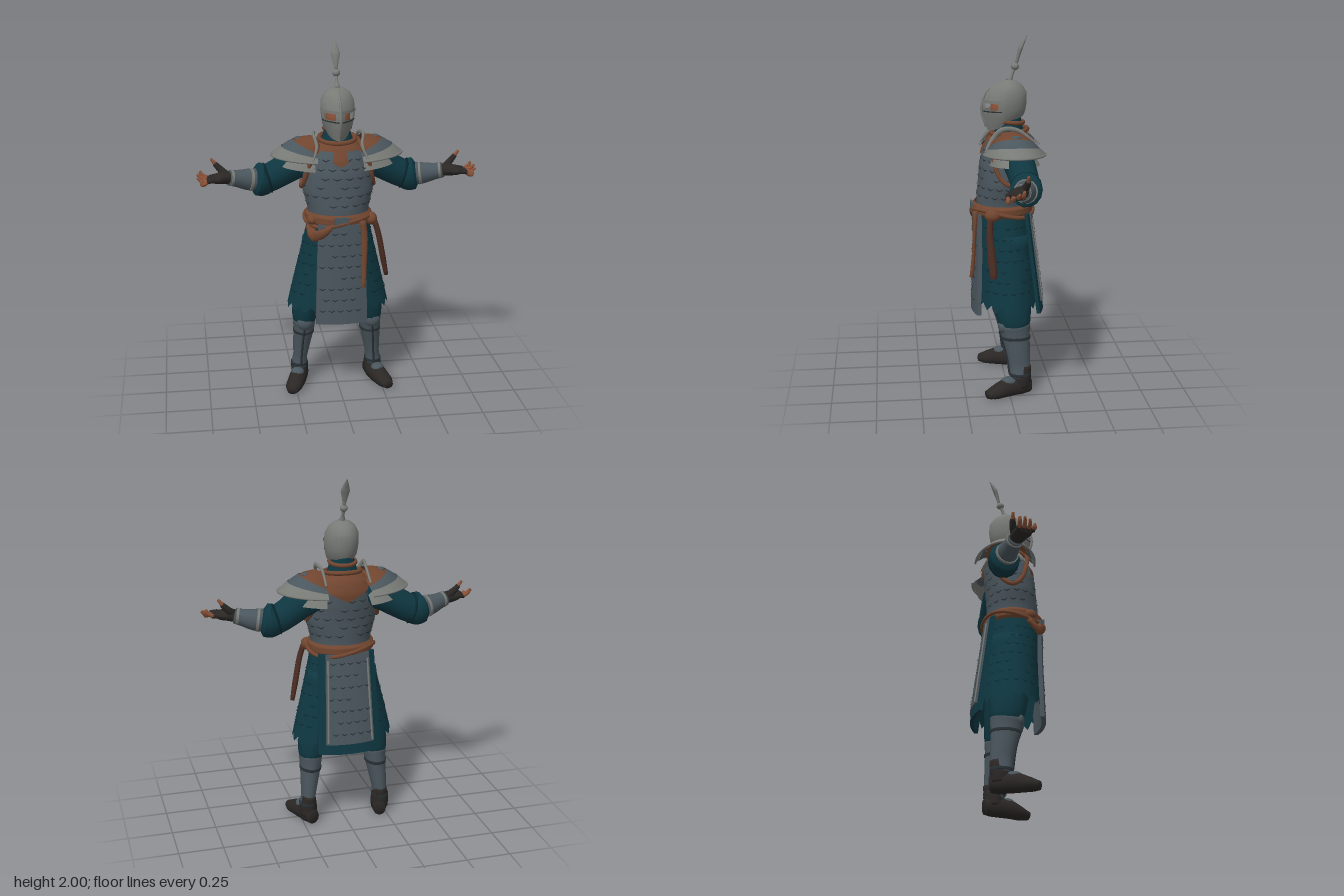
import * as THREE from 'three';
import { mergeVertices, mergeGeometries, toCreasedNormals } from 'three/addons/utils/BufferGeometryUtils.js';

const V = (x, y, z) => new THREE.Vector3(x, y, z);
const mat = (name, color) => {
  const m = new THREE.MeshStandardMaterial({ color, side: THREE.DoubleSide });
  m.name = name;
  return m;
};
const TAU = Math.PI * 2, { sin, cos, abs, max } = Math, lerp = THREE.MathUtils.lerp;

// Surface from a rule P(u, v); skip(i, j) leaves cells open
function grid(P, u0, u1, nu, v0, v1, nv, skip) {
  const pos = [], idx = [], w = nu + 1;
  for (let j = 0; j <= nv; j++) for (let i = 0; i <= nu; i++)
    pos.push(...P(lerp(u0, u1, i / nu), lerp(v0, v1, j / nv)).toArray());
  for (let j = 0; j < nv; j++) for (let i = 0; i < nu; i++) {
    if (skip && skip(i, j)) continue;
    const a = j * w + i;
    idx.push(a, a + 1, a + w + 1, a, a + w + 1, a + w);
  }
  let g = new THREE.BufferGeometry();
  g.setAttribute('position', new THREE.Float32BufferAttribute(pos, 3));
  g.setIndex(idx);
  g = mergeVertices(g, 1e-5);
  g.computeVertexNormals();
  return g;
}

// Upright body surface from rings [y, halfWidth, halfDepth, centreZ]
const body = (rings, off = 0) => (a, y) => {
  let k = 0;
  while (k < rings.length - 2 && y > rings[k + 1][0]) k++;
  const A = rings[k], B = rings[k + 1], t = (y - A[0]) / (B[0] - A[0]);
  return V(sin(a) * (lerp(A[1], B[1], t) + off), y, cos(a) * (lerp(A[2], B[2], t) + off) + lerp(A[3], B[3], t));
};

// Tapered limb through [x, y, z, radiusAcross, radiusForward], capped at both ends
function limb(pts, ref = V(0, 0, 1), sides = 14, steps = 4) {
  const curve = new THREE.CatmullRomCurve3(pts.map(p => V(p[0], p[1], p[2])));
  const n = pts.length - 1, N = n * steps;
  const P = (a, k) => {
    const j = Math.min(max(k - 1, 0), N), t = j / N, f = Math.min(Math.floor(t * n), n - 1), e = t * n - f;
    const r = q => (k < 0.5 || k > N + 1.5) ? 0 : lerp(pts[f][q], pts[f + 1][q], e);
    const T = curve.getTangent(t), A = ref.clone().addScaledVector(T, -ref.dot(T)).normalize(), B = T.clone().cross(A);
    return curve.getPoint(t).addScaledVector(A, cos(a) * r(4)).addScaledVector(B, sin(a) * r(3));
  };
  return grid(P, 0, TAU, sides, 0, N + 2, N + 2);
}
const tube = (pts, r, closed = false) =>
  new THREE.TubeGeometry(new THREE.CatmullRomCurve3(pts.map(p => V(...p)), closed), 32, r, 8, closed);
const ball = (x, y, z, a, b, c) => new THREE.SphereGeometry(1, 14, 10).scale(a, b, c).translate(x, y, z);
function mirrored(g) {
  const m = g.clone().scale(-1, 1, 1);
  if (!m.index) m.setIndex([...Array(m.attributes.position.count).keys()]);
  const ix = m.index.array;
  for (let i = 0; i < ix.length; i += 3) [ix[i], ix[i + 1]] = [ix[i + 1], ix[i]];
  return m;
}

// Rows of small V-shaped scale edges lying on a surface
function scales(P, u0, u1, nu, v0, v1, nv) {
  const list = [], du = (u1 - u0) / nu;
  let seed = 7;
  for (let j = 0; j < nv; j++) for (let i = 0; i < nu; i++) {
    seed = (seed * 16807) % 2147483647;
    if (seed % 10 < 2) continue;
    const u = u0 + du * (i + 0.3 + (j % 2) * 0.4), v = lerp(v0, v1, j / (nv - 1));
    list.push(grid((s, t) => P(u + s * du * 0.36, v + 0.012 * abs(s) + t * 0.008 * (1 - 0.6 * abs(s))), -1, 1, 2, 0, 1, 1));
  }
  return mergeGeometries(list);
}

export function createModel() {
  const root = new THREE.Group();
  root.name = 'armouredWarrior';
  const steel = mat('blueSteel', 0x4a565d), pale = mat('paleSteel', 0x787a76), teal = mat('tealCloth', 0x0f3741),
    brown = mat('brownLeather', 0x70452f), dark = mat('darkLeather', 0x2a2725), line = mat('scaleShadow', 0x283035),
    deep = mat('deepTeal', 0x0a262e), skin = mat('skin', 0x8a5238), maroon = mat('oldLeather', 0x4a2c22);
  const add = (name, g, m) => {
    const o = new THREE.Mesh(g, m);
    o.name = name;
    root.add(o);
  };
  const pair = (name, g, m) => { add(name + 'Left', g, m); add(name + 'Right', mirrored(g), m); };

  // Torso armour
  const T = [[1.0, .165, .145, .02], [1.1, .173, .145, .02], [1.2, .198, .143, .012], [1.3, .195, .145, .002],
    [1.38, .18, .136, -.012], [1.44, .135, .11, -.02], [1.48, .07, .075, -.02]];
  add('cuirass', grid(body(T), 0, TAU, 40, 1.0, 1.48, 24), steel);
  add('cuirassScales', scales(body(T, .004), 0, TAU, 18, 1.12, 1.37, 6), line);
  add('yoke', grid(body(T, .009), 0, TAU, 40, 1.425, 1.475, 4), brown);
  const onTorso = (lo, hi, off) => (a, v) => body(T, off)(a, lerp(lo(a), hi, v));
  add('chestTab', grid(onTorso(a => 1.345 + abs(a) * .1, 1.44, .011), -.22, .22, 8, 0, 1, 6), brown);
  add('backYoke', grid(onTorso(a => 1.33 + abs(a - Math.PI) * .09, 1.45, .011), Math.PI - 1, Math.PI + 1, 16, 0, 1, 6), brown);
  add('neckCloth', grid(body([[1.44, .1, .095, -.02], [1.49, .08, .075, -.02], [1.57, .06, .06, -.02]]), 0, TAU, 24, 1.44, 1.57, 6), teal);
  add('collarRing', new THREE.TorusGeometry(.1, .013, 8, 30).rotateX(Math.PI / 2 + .12).translate(0, 1.475, -.02), brown);
  add('neckBand', new THREE.TorusGeometry(.072, .012, 8, 24).rotateX(Math.PI / 2 - .1).translate(0, 1.53, -.025), brown);
  pair('armholeTrim', tube([[.125, 1.44, .08], [.165, 1.35, .083], [.19, 1.25, .05], [.203, 1.21, 0], [.19, 1.25, -.055],
    [.165, 1.35, -.09], [.125, 1.45, -.08]], .013, true), brown);

  // Helmet rings: [frontY, backY, halfWidth, frontZ, backZ]
  const H = [[1.48, 1.565, .062, .1, -.1], [1.53, 1.585, .083, .115, -.108], [1.597, 1.607, .092, .13, -.113],
    [1.635, 1.637, .095, .128, -.117], [1.69, 1.69, .092, .108, -.116], [1.73, 1.73, .072, .068, -.09],
    [1.752, 1.752, .042, .028, -.058], [1.763, 1.763, 0, -.015, -.015]];
  const helm = (k = 1) => (a, j) => {
    const [yf, yb, w, zf, zb] = H[Math.round(j)], c = cos(a), m = (zf + zb) / 2, h = (zf - zb) / 2;
    const f = c > 0 ? .55 * c + .45 * (1 - abs(sin(a))) : c;
    return V(sin(a) * w * k, lerp(yb, yf, (c + 1) / 2), m + f * h * k);
  };
  const eye = (i, j) => j === 2 && ((i >= 1 && i <= 3) || (i >= 20 && i <= 22));
  add('helmet', toCreasedNormals(grid(helm(), 0, TAU, 24, 0, 7, 7, eye), .6), pale);
  add('browBand', grid((a, v) => helm(1.04)(a, 3).add(V(0, v * .016, 0)), -1.3, 1.3, 20, 0, 1, 1), pale);
  add('cheekSeam', grid((a, v) => helm(1.015)(a, 2).add(V(0, -.012 + v * .007, 0)), -1.3, 1.3, 20, 0, 1, 1), line);
  add('face', ball(0, 1.6, .015, .068, .085, .07), skin);
  add('noseRidge', limb([[0, 1.5, .108, .006, .006], [0, 1.6, .133, .009, .008], [0, 1.69, .107, .006, .006], [0, 1.75, .03, .005, .005]]), pale);

  // Plume
  add('plumeStem', limb([[0, 1.75, -.018, .02, .02], [0, 1.785, -.034, .009, .009], [0, 1.86, -.065, .008, .008]]), pale);
  add('plumeKnob', ball(0, 1.83, -.052, .022, .02, .022), pale);
  add('plumeBlade', limb([[0, 1.85, -.06, .008, .008], [0, 1.89, -.07, .016, .01], [0, 1.93, -.082, .026, .012],
    [0, 1.965, -.098, .015, .009], [0, 2, -.118, .001, .001]]), pale);

  // Pauldrons in coloured bands sweeping out from the neck
  const pauldron = (drop, k) => (f, s) => V(
    lerp(.11 + .03 * cos(f), .125 + .235 * k * cos(f) ** 1.0, s),
    lerp(1.435 + .055 * cos(f), 1.365 + .018 * cos(f), s) + .022 * sin(Math.PI * s) * (.4 + cos(f)) - drop,
    lerp(-.02 + .085 * sin(f), -.035 + .165 * k * sin(f), s));
  const h = Math.PI / 2;
  pair('pauldronCrown', grid(pauldron(0, 1), -h, h, 20, 0, .5, 6), brown);
  pair('pauldronBand', grid(pauldron(-.003, 1.01), -h, h, 20, .48, .78, 4), steel);
  pair('pauldronRim', grid(pauldron(-.006, 1.02), -h, h, 20, .76, 1, 4), pale);
  pair('shoulderLame', grid(pauldron(.055, .84), -h, h, 20, .4, 1, 5), pale);
  pair('pauldronEdge', tube([...Array(13).keys()].map(i => pauldron(-.004, 1.02)(lerp(-h, h, i / 12), 1).toArray()), .006), pale);
  pair('pauldronStud', ball(.215, 1.474, -.035, .022, .012, .028), steel);
  pair('pauldronGuard', limb([[.15, 1.385, .128, .004, .004], [.125, 1.45, .085, .014, .01], [.138, 1.505, .035, .014, .008],
    [.125, 1.5, -.05, .012, .008], [.125, 1.43, -.15, .006, .006]], V(1, 0, 0)), pale);

  // Arms, bracers and hands
  pair('sleeve', limb([[.12, 1.36, -.035, .085, .08], [.22, 1.335, -.05, .092, .085], [.32, 1.275, -.065, .082, .08],
    [.38, 1.245, -.07, .08, .076], [.415, 1.238, -.067, .093, .086], [.445, 1.243, -.062, .092, .084], [.462, 1.246, -.058, .06, .06]]), teal);
  pair('sleeveFold', limb([[.37, 1.25, -.07, .072, .07], [.385, 1.246, -.069, .09, .084], [.4, 1.242, -.068, .072, .07]]), deep);
  pair('bracer', limb([[.43, 1.24, -.06, .066, .062], [.5, 1.246, -.052, .06, .056], [.56, 1.258, -.034, .047, .046], [.605, 1.268, -.02, .042, .042]]), steel);
  for (const [x, y, z, r] of [[.482, 1.244, -.055, .064], [.588, 1.265, -.026, .046]])
    pair('bracerBand', limb([[x - .008, y - .001, z - .002, r, r], [x + .008, y + .001, z + .002, r, r]]), pale);
  pair('glove', limb([[.585, 1.265, -.025, .034, .036], [.63, 1.272, -.008, .034, .044], [.67, 1.272, .01, .028, .05], [.7, 1.275, .02, .02, .046]]), dark);
  for (let i = 0; i < 4; i++) {
    const z = -.018 + i * .026, x = .755 + [.005, .022, .022, 0][i], y = 1.305 - i * .012;
    pair('gloveFinger', limb([[.685, 1.275, z, .014, .013], [.725, 1.272, z + .004, .013, .012]], V(0, 0, 1), 8), dark);
    pair('finger', limb([[.718, 1.272, z + .003, .0125, .0115], [.75, y - .014, z + .004, .012, .011], [x, y + .008, z + .002, .007, .007]], V(0, 0, 1), 8), skin);
  }
  pair('gloveThumb', limb([[.615, 1.28, -.025, .024, .024], [.65, 1.315, -.04, .019, .019], [.677, 1.345, -.045, .014, .014]], V(0, 0, 1), 8), dark);
  pair('thumb', limb([[.672, 1.34, -.044, .0135, .0135], [.697, 1.372, -.044, .007, .007]], V(0, 0, 1), 8), skin);

  // Skirt with ragged hem
  const S = [[.46, .3, .187, -.005], [.55, .282, .18, -.004], [.75, .235, .165, .002], [.9, .198, .152, .015], [1.04, .168, .145, .022]];
  add('skirt', grid((a, v) => body(S)(a, lerp(.5 + .035 * abs(((a * 20 / TAU) % 1) * 2 - 1), 1.04, v)), 0, TAU, 80, 0, 1, 12), teal);
  for (const a of [h, -h])
    add('skirtScales', scales(body(S, .004), a - .85, a + .85, 6, .6, .95, 7), deep);

  // Front and back panels, bent to follow the skirt
  const frontZ = (x, y) => .176 + .012 * max(0, (.8 - y) / .35) - x * x * 1.1;
  const backZ = (x, y) => -(.13 + (1 - y) * .135) + x * x * 1.1;
  const panel = (w, y0, y1, d, Z) => {
    const g = new THREE.BoxGeometry(w, y1 - y0, d, 8, 10, 1).translate(0, (y0 + y1) / 2, 0), p = g.attributes.position;
    for (let i = 0; i < p.count; i++) {
      const x = p.getX(i) * lerp(1, .88, max(0, (p.getY(i) - .5) / .55));
      p.setX(i, x);
      p.setZ(i, p.getZ(i) + Z(x, p.getY(i)));
    }
    g.computeVertexNormals();
    return g;
  };
  add('frontPanel', panel(.29, .45, 1.03, .024, frontZ), steel);
  add('frontPanelScales', scales((x, y) => V(x, y, frontZ(x, y) + .016), -.125, .125, 5, .52, .97, 8), line);
  add('backPanelLining', panel(.36, .46, 1.03, .02, backZ), teal);
  add('backPanel', panel(.28, .52, 1.03, .012, (x, y) => backZ(x, y) - .013), steel);
  add('backPanelScales', scales((x, y) => V(x, y, backZ(x, y) - .023), -.12, .12, 5, .57, .97, 7), line);
  const trim = .128;
  pair('backPanelTrim', tube([[trim, .53, backZ(trim, .53) - .02], [.12, .75, backZ(.12, .75) - .02], [.113, 1, backZ(.113, 1) - .02]], .006), pale);

  // Belt, buckle, knots and hanging pieces
  add('belt', grid(body([[1.015, .176, .16, .02], [1.03, .188, .17, .02], [1.065, .188, .17, .02], [1.08, .174, .155, .02]]), 0, TAU, 40, 1.015, 1.08, 13), brown);
  add('beltCord', tube([...Array(16).keys()].map(i => [.19 * sin(i * TAU / 16), 1.035 + .022 * sin(i * TAU / 8), .02 + .172 * cos(i * TAU / 16)]), .011, true), brown);
  add('buckle', new THREE.BoxGeometry(.085, .05, .012).translate(0, 1.05, .192), steel);
  add('sideKnotLeft', ball(.175, 1.035, .09, .035, .036, .045), brown);
  add('sideKnotRight', ball(-.155, 1.045, .1, .03, .03, .04), brown);
  add('pouchFold', limb([[-.175, 1.01, .09, .015, .015], [-.15, .965, .145, .035, .018], [-.105, .985, .18, .025, .014], [-.06, 1.02, .19, .012, .01]]), brown);
  add('hangingStrap', limb([[.115, 1.05, .18, .018, .016], [.125, .95, .185, .018, .011], [.122, .8, .192, .015, .01], [.118, .67, .203, .014, .012]]), brown);
  add('scabbard', limb([[.195, 1.02, .105, .016, .016], [.215, .95, .11, .016, .018], [.245, .8, .1, .016, .024], [.265, .7, .092, .012, .018]]), maroon);

  // Legs, greaves and boots
  pair('trouser', limb([[.1, .9, 0, .1, .12], [.135, .65, -.01, .1, .115], [.18, .48, -.025, .08, .1], [.19, .42, -.03, .07, .09], [.19, .37, -.03, .055, .07]]), teal);
  pair('greave', limb([[.22, .1, -.06, .046, .056], [.213, .17, -.058, .041, .06], [.205, .25, -.05, .05, .067], [.195, .34, -.037, .059, .08], [.192, .4, -.03, .066, .09], [.194, .425, -.028, .06, .083]]), steel);
  pair('kneePlate', ball(.195, .4, .035, .045, .042, .028), steel);
  pair('greaveSeam', tube([[.197, .37, .055], [.206, .26, .02], [.215, .12, 0]], .006), line);
  for (const [x, y, z, a, b] of [[.195, .335, -.038, .062, .083], [.218, .12, -.06, .049, .062]])
    pair('greaveStrap', limb([[x, y - .008, z, a, b], [x, y + .008, z, a, b]]), line);
  const foot = limb([[.2, .045, -.118, .036, .042], [.215, .05, -.06, .048, .06], [.24, .045, .02, .05, .056], [.268, .03, .09, .047, .038], [.282, .024, .135, .028, .022]], V(0, 1, 0), 16);
  const fp = foot.attributes.position;
  for (let i = 0; i < fp.count; i++) fp.setY(i, max(0, fp.getY(i)));
  foot.computeVertexNormals();
  pair('boot', foot, dark);
  pair('bootAnkle', limb([[.215, .05, -.065, .05, .055], [.217, .1, -.066, .05, .055], [.214, .17, -.07, .038, .052]]), dark);
  pair('instepPlate', ball(.236, .085, .005, .038, .024, .045), steel);
  return root;
}
